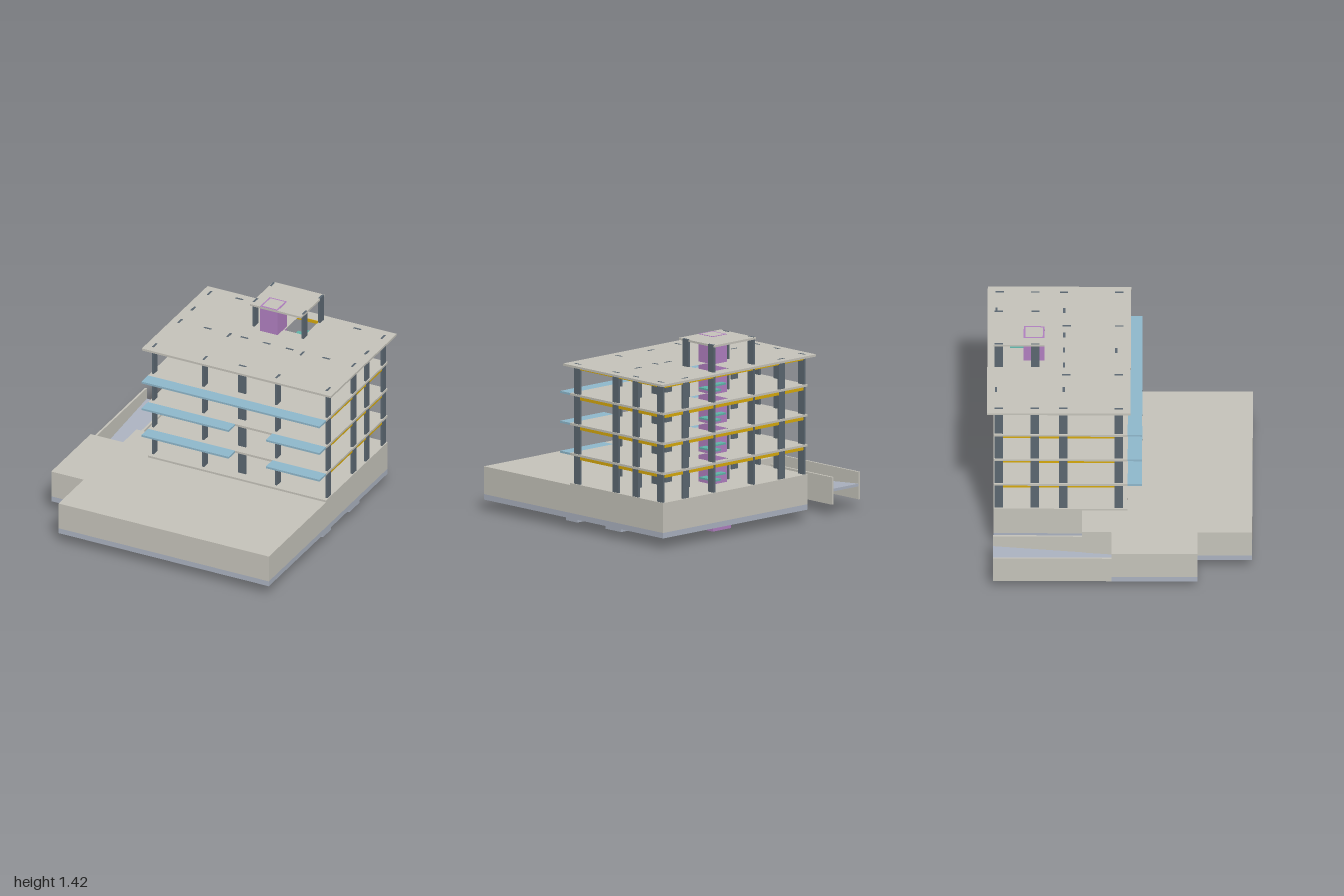
import * as THREE from 'three';

const mat = (name, color) => {
  const m = new THREE.MeshStandardMaterial({ color });
  m.name = name;
  return m;
};

export function createModel() {
  const model = new THREE.Group();
  const concrete = mat('concrete', 0xc5c3ba);
  const foundation = mat('foundation grey', 0xabb2c0);
  const columnGrey = mat('column grey', 0x5b6771);
  const beamYellow = mat('beam yellow', 0xd6a90c);
  const balconyBlue = mat('balcony blue', 0x8fb8cc);
  const stairTeal = mat('stair teal', 0x5fb3a8);
  const shaftPurple = mat('shaft purple', 0xb07fc0);

  const group = (name) => {
    const g = new THREE.Group();
    g.name = name;
    model.add(g);
    return g;
  };
  // Box given by its limits on each axis
  const box = (parent, name, m, x0, x1, y0, y1, z0, z1) => {
    const mesh = new THREE.Mesh(new THREE.BoxGeometry(x1 - x0, y1 - y0, z1 - z0), m);
    mesh.position.set((x0 + x1) / 2, (y0 + y1) / 2, (z0 + z1) / 2);
    mesh.name = name;
    parent.add(mesh);
    return mesh;
  };
  // Horizontal plate from an [x, z] outline, with optional holes
  const plate = (parent, name, m, outline, y0, y1, holes = []) => {
    const pts = (list) => list.map(([x, z]) => new THREE.Vector2(x, -z));
    const shape = new THREE.Shape(pts(outline));
    holes.forEach((h) => shape.holes.push(new THREE.Path(pts(h))));
    const geo = new THREE.ExtrudeGeometry(shape, { depth: y1 - y0, bevelEnabled: false });
    geo.rotateX(-Math.PI / 2);
    const mesh = new THREE.Mesh(geo, m);
    mesh.position.y = y0;
    mesh.name = name;
    parent.add(mesh);
  };
  const rect = (x0, x1, z0, z1) => [[x0, z0], [x1, z0], [x1, z1], [x0, z1]];

  // Basement block on its raft
  const basement = group('basement');
  const footprint = [[-0.48, -0.905], [0.95, -0.905], [0.95, 0.945], [-0.74, 0.945], [-0.74, 0.555],
    [-1, 0.555], [-1, -0.06], [-0.74, -0.06], [-0.74, -0.27], [-0.48, -0.27]];
  plate(basement, 'raftSlab', foundation, footprint, 0.08, 0.12);
  plate(basement, 'basementWalls', concrete, footprint, 0.12, 0.323);

  // Footings under the raft: [x, z, width, depth]
  const footings = group('footings');
  [0.74, 0.49, 0.22, -0.04, -0.28, -0.52].forEach((x) => footings.add(footing(x, 0.56, 0.13, 0.12)));
  [[0.88, 0.04, 0.14, 0.12], [0.49, 0.04, 0.16, 0.16], [0.19, 0.045, 0.2, 0.22], [-0.1, 0.04, 0.17, 0.18],
    [-0.47, 0.04, 0.17, 0.16], [0.63, -0.39, 0.2, 0.18], [0.25, -0.39, 0.2, 0.18], [-0.06, -0.39, 0.17, 0.16],
    [-0.45, -0.39, 0.16, 0.16], [0.44, -0.61, 0.2, 0.16], [-0.05, -0.61, 0.2, 0.16], [0.9, -0.39, 0.1, 0.16],
  ].forEach((f) => footings.add(footing(...f)));
  function footing(x, z, w, d) {
    const f = new THREE.Mesh(new THREE.BoxGeometry(w, 0.022, d), foundation);
    f.position.set(x, 0.071, z);
    f.name = 'footing';
    return f;
  }

  // Vehicle ramp with side walls
  const ramp = group('ramp');
  box(ramp, 'outerRampWall', concrete, -1, -0.985, 0.08, 0.28, -0.905, -0.06);
  box(ramp, 'innerRampWall', concrete, -0.737, -0.72, 0.08, 0.28, -0.905, -0.27);
  box(ramp, 'innerRampWallEnd', concrete, -0.7375, -0.735, 0.08, 0.28, -0.27, -0.06);
  const floor = box(ramp, 'rampFloor', foundation, -0.985, -0.737, 0.14, 0.16, -0.905, -0.06);
  const p = floor.geometry.attributes.position;
  for (let i = 0; i < p.count; i++) p.setY(i, p.getY(i) + (p.getZ(i) < 0 ? 0.035 : -0.035));
  floor.geometry.computeVertexNormals();

  // Floor slabs and roof, open around the stair and the shaft
  const slabs = group('floorSlabs');
  const tops = [0.558, 0.777, 0.995, 1.215];
  const wells = [rect(0.262, 0.425, -0.86, -0.63), rect(0.125, 0.245, -0.68, -0.55)];
  box(slabs, 'groundSlab', concrete, -0.48, 0.95, 0.32, 0.338, -0.905, 0.055);
  tops.forEach((y, i) => {
    const roof = i === 3;
    const outline = roof ? rect(-0.52, 1, -0.95, 0.075) : rect(-0.48, 0.95, -0.905, 0.055);
    plate(slabs, roof ? 'roofSlab' : 'floorSlab', concrete, outline, y - 0.016, y, wells);
  });

  // Balconies: the lower two are split in the middle
  const balconies = group('balconies');
  [[[-0.48, 0.22], [0.52, 0.95]], [[-0.48, 0.22], [0.52, 0.95]], [[-0.48, 0.95]]].forEach((spans, i) =>
    spans.forEach(([a, b]) => box(balconies, 'balcony', balconyBlue, a, b, tops[i] - 0.015, tops[i], 0.055, 0.157)));

  // Columns: some long in z, some long in x, four tall ones carrying the tower
  const columns = group('columns');
  const column = (x, z, w, d, top) =>
    box(columns, 'column', columnGrey, x - w / 2, x + w / 2, 0.338, top, z - d / 2, z + d / 2);
  const t = 0.016, l = 0.06, roofTop = 1.216;
  [-0.46, 0.935].forEach((x) => [-0.865, -0.61, -0.405, 0.01 - 0.02].forEach((z) => column(x, z, t, l, roofTop)));
  [-0.055, 0.53].forEach((x) => [-0.385, -0.01].forEach((z) => column(x, z, t, l, roofTop)));
  [0.042, 0.435].forEach((x) => [-0.868, -0.607].forEach((z) => column(x, z, t, l, 1.416)));
  [[-0.235, -0.887], [0.715, -0.887], [-0.235, -0.402], [0.06, -0.402], [0.24, -0.402], [0.42, -0.402],
    [0.715, -0.402], [0.235, -0.03]].forEach(([x, z]) => column(x, z, l, t, roofTop));

  // Beams below every slab
  const beams = group('beams');
  tops.forEach((y) => {
    const y0 = y - 0.041, y1 = y - 0.016, h = 0.007;
    [-0.887, -0.402, -0.025].forEach((z) => box(beams, 'crossBeam', beamYellow, -0.46, 0.935, y0, y1, z - h, z + h));
    [[-0.46, -0.887, -0.02], [0.935, -0.887, -0.02], [-0.055, -0.402, -0.02], [0.53, -0.402, -0.02],
      [0.042, -0.887, -0.402], [0.435, -0.887, -0.402]].forEach(([x, a, b]) =>
      box(beams, 'longBeam', beamYellow, x - h, x + h, y0 + 0.001, y1, a, b));
  });

  // Stair plates, one set per storey
  const stairs = group('stairs');
  for (let i = 0; i < 4; i++) {
    const y = 0.385 + i * 0.2185;
    box(stairs, 'lowerFlight', stairTeal, 0.265, 0.335, y, y + 0.012, -0.79, -0.635);
    box(stairs, 'landing', stairTeal, 0.265, 0.392, y + 0.054, y + 0.066, -0.84, -0.79);
    box(stairs, 'upperFlight', stairTeal, 0.342, 0.392, y + 0.11, y + 0.122, -0.79, -0.635);
  }

  // Lift shaft as a square tube with a stepped pit
  const shaft = group('liftShaft');
  plate(shaft, 'shaftWalls', shaftPurple, rect(0.113, 0.253, -0.69, -0.542), 0.03, 1.417,
    [rect(0.125, 0.241, -0.678, -0.554)]);
  box(shaft, 'pitBase', shaftPurple, 0.092, 0.272, 0, 0.034, -0.71, -0.522);

  // Tower roof above the stair and the shaft
  const tower = group('tower');
  box(tower, 'towerRoof', concrete, 0.032, 0.443, 1.4, 1.415, -0.905, -0.54);
  return model;
}
